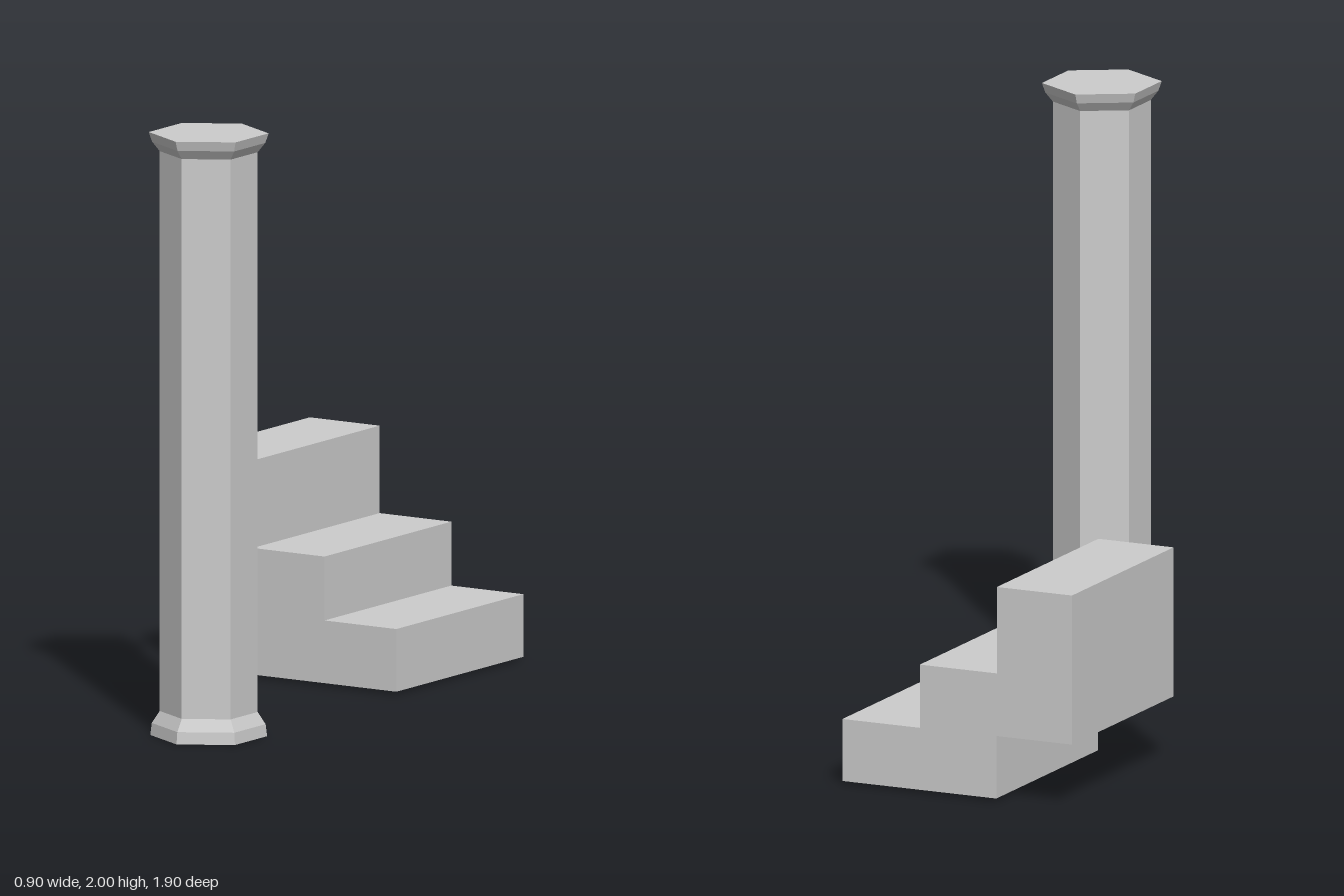
import * as THREE from 'three';

export function createModel() {
  const model = new THREE.Group();
  const stone = new THREE.MeshStandardMaterial({ color: 0xcccccc, flatShading: true });
  stone.name = 'grey stone';

  // Six-sided column with flared base and capital, as [radius, height]
  const profile = [
    [0, 0], [0.191, 0], [0.186, 0.04], [0.16, 0.08],
    [0.16, 1.937], [0.185, 1.968], [0.196, 2], [0, 2],
  ].map(([r, y]) => new THREE.Vector2(r, y));
  const column = new THREE.Mesh(new THREE.LatheGeometry(profile, 6), stone);
  column.name = 'column';
  column.position.set(0.277, 0, 0.753);
  model.add(column);

  // Three steps with a stepped underside, extruded along z
  const outline = [
    [-0.175, 0.01], [0.384, 0.01], [0.384, 0.218], [0.103, 0.218],
    [0.103, 0.43], [-0.177, 0.43], [-0.177, 0.72], [-0.45, 0.72],
    [-0.45, 0.22], [-0.175, 0.22],
  ].map(([x, y]) => new THREE.Vector2(x, y));
  const stairs = new THREE.Mesh(
    new THREE.ExtrudeGeometry(new THREE.Shape(outline), { depth: 0.752, bevelEnabled: false }),
    stone
  );
  stairs.name = 'stairs';
  stairs.position.z = -0.949;
  model.add(stairs);

  return model;
}
